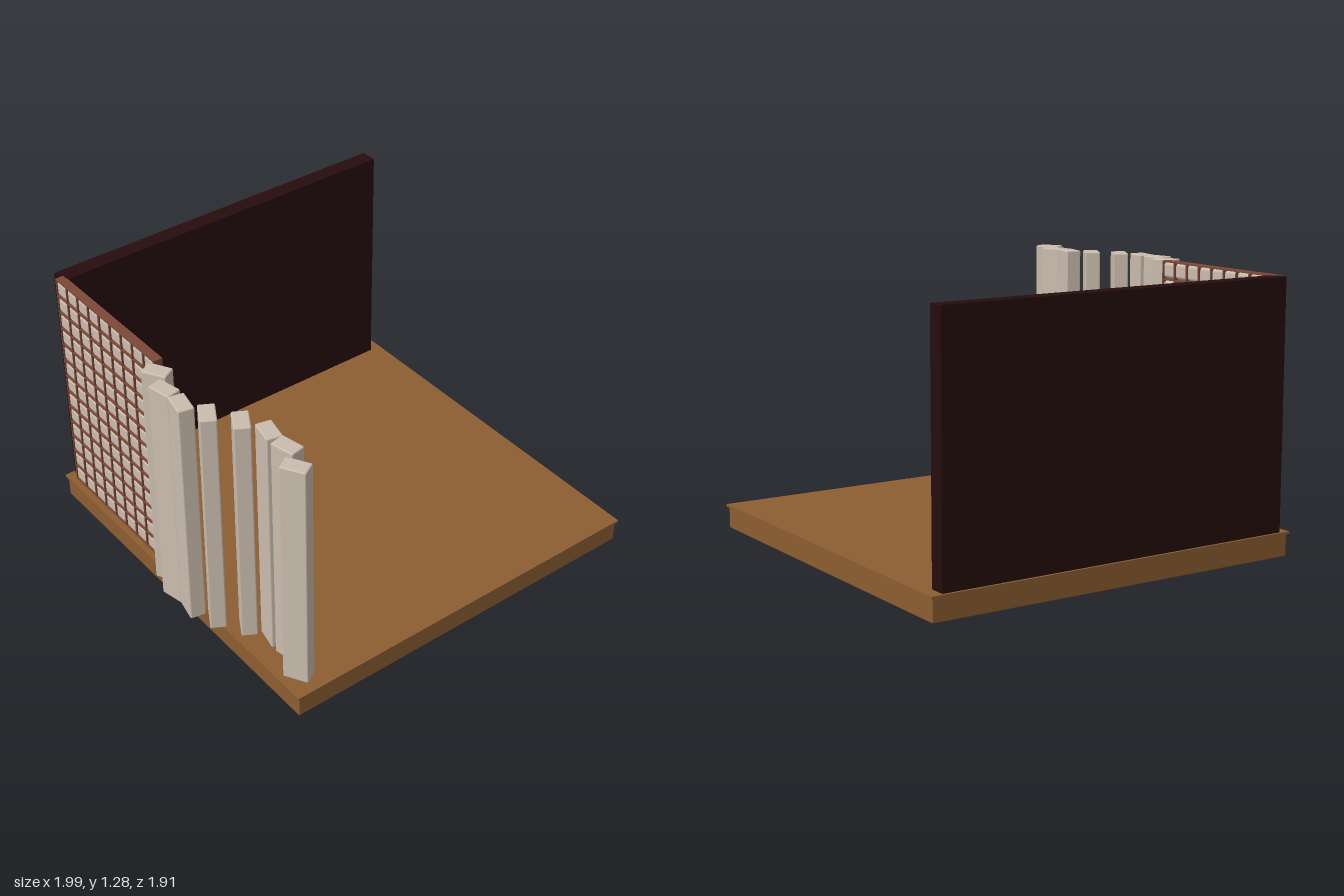
import * as THREE from 'three';
import { RoundedBoxGeometry } from 'three/addons/geometries/RoundedBoxGeometry.js';

const FLOOR = 0.117, TOP = 1.285, HEIGHT = TOP - FLOOR, MID = (TOP + FLOOR) / 2;

function material(name, color) {
  const m = new THREE.MeshStandardMaterial({ color });
  m.name = name;
  return m;
}

export function createModel() {
  const wood = material('wood', 0x8c5e32);
  const darkWall = material('dark maroon', 0x260d0e);
  const stone = material('pale stone', 0xcabdae);
  const terracotta = material('terracotta', 0x7c4838);
  const model = new THREE.Group();
  model.name = 'screenedTerrace';

  function add(parent, name, geometry, mat, x, y, z) {
    const mesh = new THREE.Mesh(geometry, mat);
    mesh.name = name;
    mesh.position.set(x, y, z);
    parent.add(mesh);
    return mesh;
  }
  const box = (w, h, d) => new THREE.BoxGeometry(w, h, d);

  // Plinth with a thin overhanging floor board
  add(model, 'plinth', new RoundedBoxGeometry(1.89, 0.108, 1.89, 2, 0.006), wood, 0.045, 0.054, -0.003);
  add(model, 'floorBoard', box(1.908, 0.012, 1.908), wood, 0.045, FLOOR - 0.006, -0.003);

  // Solid back wall
  add(model, 'backWall', box(1.8, HEIGHT, 0.08), darkWall, 0.04, MID, -0.905);

  // Lattice screen: crossing slats with a cushion-shaped block in each cell
  const screen = new THREE.Group();
  screen.name = 'latticeScreen';
  model.add(screen);
  const X = -0.857, DEPTH = 0.045, COLS = 9, ROWS = 13, Z0 = -0.093, SLAT = 0.007;
  const cellZ = 0.0897, cellY = HEIGHT / ROWS, length = cellZ * COLS;
  const upright = box(DEPTH, HEIGHT, SLAT);
  const rail = box(DEPTH, SLAT, length);
  const block = new RoundedBoxGeometry(DEPTH - 0.002, cellY - 0.011, cellZ - 0.006, 3, 0.018);
  for (let c = 0; c <= COLS; c++) {
    const inset = c === 0 ? -SLAT / 2 : c === COLS ? SLAT / 2 : 0;
    add(screen, 'upright', upright, terracotta, X, MID, Z0 - c * cellZ + inset);
  }
  for (let r = 0; r <= ROWS; r++) {
    const inset = r === 0 ? SLAT / 2 : r === ROWS ? -SLAT / 2 : 0;
    add(screen, 'rail', rail, terracotta, X, FLOOR + r * cellY + inset, Z0 - length / 2);
  }
  for (let r = 0; r < ROWS; r++) {
    for (let c = 0; c < COLS; c++) {
      add(screen, 'latticeBlock', block, stone, X, FLOOR + (r + 0.5) * cellY, Z0 - (c + 0.5) * cellZ);
    }
  }

  // Winding row of turned pillars: x, z, turn in degrees
  const pillar = new RoundedBoxGeometry(0.075, HEIGHT, 0.119, 2, 0.007);
  const places = [
    [-0.9, -0.037, 30], [-0.947, 0.088, 12], [-0.947, 0.214, -12], [-0.9, 0.336, -30],
    [-0.818, 0.46, -30], [-0.767, 0.583, -12], [-0.767, 0.708, 12], [-0.818, 0.833, 30],
  ];
  const pillars = new THREE.Group();
  pillars.name = 'pillarRow';
  model.add(pillars);
  for (const [x, z, turn] of places) {
    add(pillars, 'pillar', pillar, stone, x, MID, z).rotation.y = THREE.MathUtils.degToRad(turn);
  }
  return model;
}
